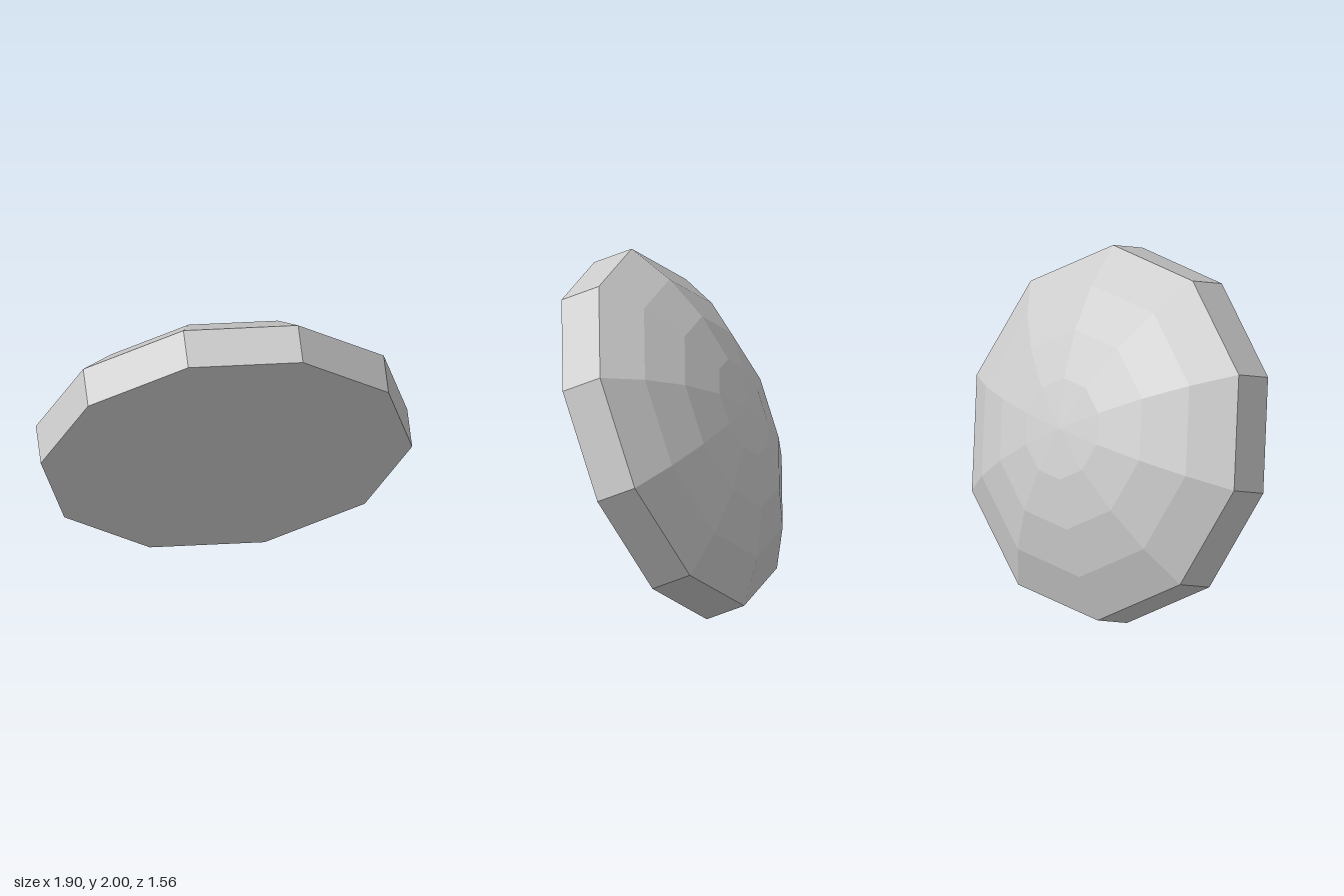
import * as THREE from 'three';

const SIDES = 10;
const RADIUS = 1.075;
const RIM = 0.246;                            // thickness of the straight rim
const CAP = THREE.MathUtils.degToRad(40);     // half angle of the spherical dome
const RINGS = 4;

// Ten-sided faceted solid of revolution
function facetedLathe(profile) {
  const points = profile.map(([r, y]) => new THREE.Vector2(r, y));
  const geometry = new THREE.LatheGeometry(points, SIDES).toNonIndexed();
  geometry.computeVertexNormals();
  return geometry;
}

export function createModel() {
  const group = new THREE.Group();
  group.name = 'facetedDome';
  const grey = new THREE.MeshStandardMaterial({ color: 0xcccccc });
  grey.name = 'lightGrey';

  const add = (name, profile) => {
    const mesh = new THREE.Mesh(facetedLathe(profile), grey);
    mesh.name = name;
    tilted.add(mesh);
  };

  // Everything is built around a tilted axis pointing back, up and to the right
  const tilted = new THREE.Group();
  tilted.name = 'tiltedBody';
  const axis = new THREE.Vector3(-0.493, 0.409, -0.768).normalize();
  const side = axis.clone().cross(new THREE.Vector3(0, 0.947, 0.505)).normalize();
  const corner = side.clone().cross(axis);
  tilted.quaternion.setFromRotationMatrix(new THREE.Matrix4().makeBasis(side, axis, corner));
  tilted.position.set(0.06, 0.952, 0.097);
  group.add(tilted);

  // Flat face and straight rim
  add('flatFace', [[0, 0], [RADIUS, 0]]);
  add('rim', [[RADIUS, 0], [RADIUS, RIM]]);

  // Shallow spherical dome, from the rim to the pole
  const sphere = RADIUS / Math.sin(CAP);
  const dome = [];
  for (let i = RINGS; i >= 0; i--) {
    const a = (CAP * i) / RINGS;
    dome.push([sphere * Math.sin(a), RIM + sphere * (Math.cos(a) - Math.cos(CAP))]);
  }
  add('dome', dome);

  return group;
}
